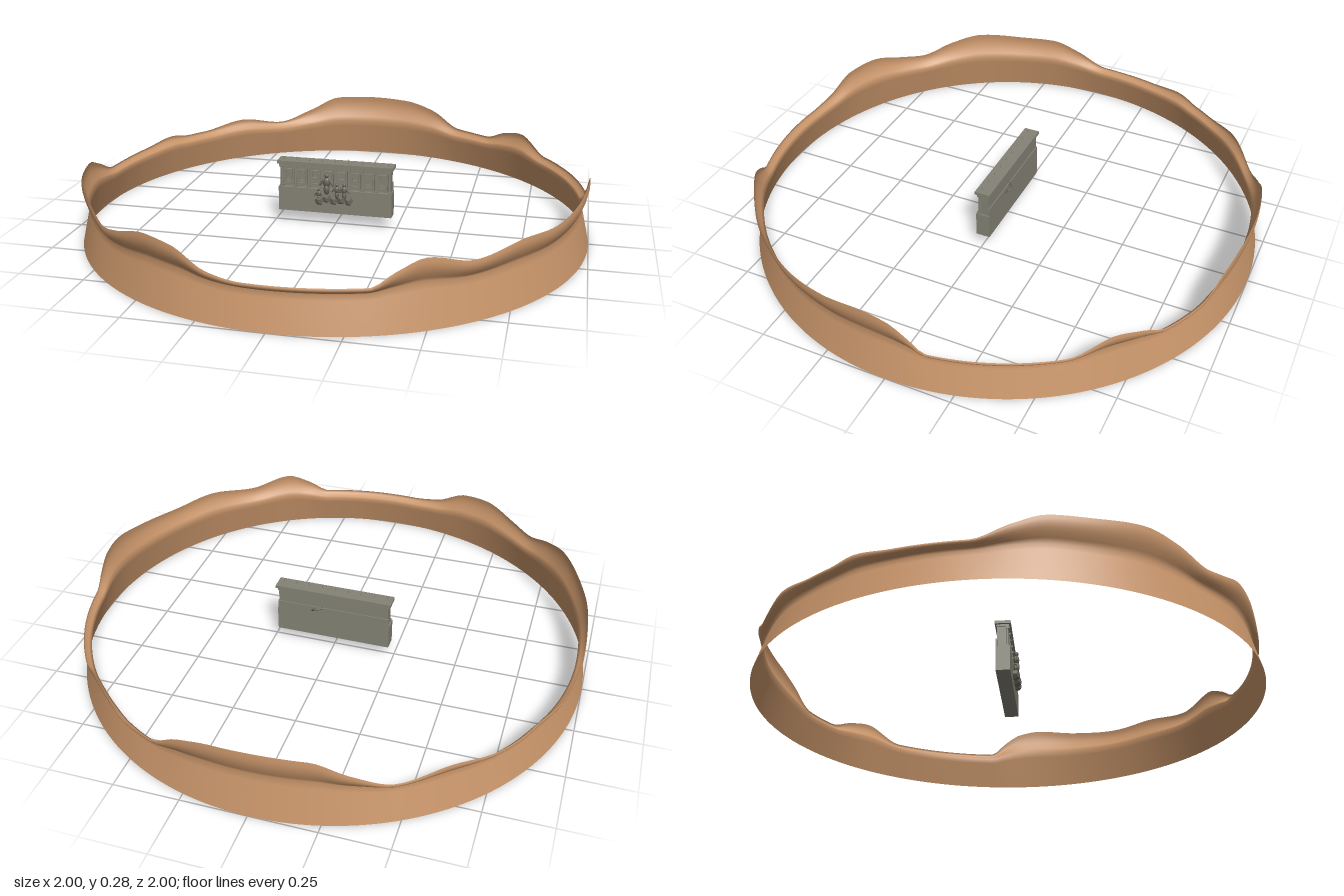
import * as THREE from 'three';
import { mergeVertices } from 'three/addons/utils/BufferGeometryUtils.js';

// Ridge height by bearing in degrees, from +z towards +x
const RIDGE = [
  [-78, .25], [-70, .255], [-58, .272], [-50, .245], [-42, .205], [-36, .222], [-27, .257], [-20, .245],
  [-12, .18], [-5, .162], [19, .162], [24, .21], [30, .25], [40, .215], [53, .243], [62, .235], [75, .255],
  [86, .28], [91, .265], [95, .22], [99, .163], [126, .16], [136, .22], [142, .2], [148, .162], [157, .168],
  [165, .238], [173, .272], [183, .28], [192, .275], [200, .215], [209, .162], [220, .192], [232, .165],
  [237, .165], [243, .18], [252, .162], [267, .155], [275, .21], [282, .25],
];

// Smooth interpolation that never overshoots the key heights
function ridgeHeight(deg) {
  const n = RIDGE.length - 1;
  const slope = (i) => {
    const k = (i + n) % n;
    return (RIDGE[k + 1][1] - RIDGE[k][1]) / (RIDGE[k + 1][0] - RIDGE[k][0]);
  };
  const tangent = (i) => {
    const a = slope(i - 1), b = slope(i);
    return a * b <= 0 ? 0 : (2 * a * b) / (a + b);
  };
  let i = 0;
  while (i < n - 1 && deg > RIDGE[i + 1][0]) i++;
  const w = RIDGE[i + 1][0] - RIDGE[i][0];
  const t = (deg - RIDGE[i][0]) / w, s = 1 - t;
  return s * s * (1 + 2 * t) * RIDGE[i][1] + t * t * (3 - 2 * t) * RIDGE[i + 1][1]
    + w * t * s * (s * tangent(i) - t * tangent(i + 1));
}

// Ring of hills: leans in to a waist, then flares out to the ridge
function hillGeometry() {
  const geo = new THREE.PlaneGeometry(1, 1, 240, 12);
  const pos = geo.attributes.position;
  for (let i = 0; i < pos.count; i++) {
    const u = pos.getX(i) + .5, v = pos.getY(i) + .5;
    const deg = -78 + 360 * u, a = THREE.MathUtils.degToRad(deg);
    const h = ridgeHeight(deg), waist = .085 + .29 * h;
    const f = Math.max(0, v * 2 - 1);
    const y = v < .5 ? waist * v * 2 : waist + (h - waist) * f;
    const r = v < .5 ? 1 - .038 * v * 2 : .962 + .028 * Math.sin(f * 2);
    pos.setXYZ(i, r * Math.sin(a), y, r * Math.cos(a));
  }
  geo.deleteAttribute('uv');
  geo.deleteAttribute('normal');
  const merged = mergeVertices(geo, 1e-5);
  merged.computeVertexNormals();
  return merged;
}

export function createModel() {
  const model = new THREE.Group();
  const mat = (name, color, side = THREE.FrontSide) => {
    const m = new THREE.MeshStandardMaterial({ color, side });
    m.name = name;
    return m;
  };
  const earth = mat('tan earth', 0xc8956a, THREE.DoubleSide);
  const stone = mat('grey stone', 0x858376);
  const statueStone = mat('dark statue stone', 0x68655a);

  const add = (parent, name, geo, material, x, y, z) => {
    const mesh = new THREE.Mesh(geo, material);
    mesh.name = name;
    mesh.position.set(x, y, z);
    parent.add(mesh);
    return mesh;
  };
  const box = (parent, name, w, h, d, x, y, z) =>
    add(parent, name, new THREE.BoxGeometry(w, h, d), stone, x, y, z);

  add(model, 'hillRing', hillGeometry(), earth, 0, 0, 0);

  // Monument wall: plinth, upper wall and cornice
  const wall = new THREE.Group();
  wall.name = 'monumentWall';
  model.add(wall);
  box(wall, 'plinth', .464, .1, .056, 0, .1, -.002);
  box(wall, 'upperWall', .452, .1, .036, 0, .198, -.008);
  box(wall, 'backBand', .458, .036, .008, 0, .168, -.026);
  box(wall, 'frieze', .46, .01, .05, 0, .241, -.003);
  box(wall, 'cornice', .474, .012, .062, 0, .253, -.003);

  // Pilasters with base and capital, and finials above them
  const bays = 8, pitch = .44 / bays;
  for (let i = 0; i <= bays; i++) {
    const x = -.22 + i * pitch;
    add(wall, 'pilaster', new THREE.CylinderGeometry(.0055, .0065, .08, 12), stone, x, .196, .014);
    box(wall, 'pilasterBase', .016, .008, .014, x, .154, .016);
    box(wall, 'pilasterCapital', .016, .008, .014, x, .234, .016);
    add(wall, 'finial', new THREE.ConeGeometry(.0025, .018, 6), stone, x * .97, .267, .005);
  }

  // Framed windows in each bay, taller ones near the ends
  for (let i = 0; i < bays; i++) {
    const x = -.22 + (i + .5) * pitch;
    const h = i < 2 || i > 5 ? .045 : .03, y = .222 - h / 2;
    for (const s of [-1, 1]) {
      box(wall, 'windowJamb', .004, h, .008, x + s * .012, y, .013);
      box(wall, 'windowRail', .032, .004, .01, x, y + s * h / 2, .014);
    }
    box(wall, 'windowSill', .026, .006, .008, x, .165, .013);
  }

  // Statue group on rocks before the centre of the wall
  const statues = new THREE.Group();
  statues.name = 'statueGroup';
  model.add(statues);
  const blob = (name, r, x, y, z, sx, sy, sz) =>
    add(statues, name, new THREE.SphereGeometry(r, 12, 8), statueStone, x, y, z).scale.set(sx, sy, sz);
  for (const [x, y, r] of [[-.06, .105, .02], [-.03, .115, .018], [0, .11, .02], [.03, .115, .02], [.06, .11, .018]]) {
    add(statues, 'rock', new THREE.DodecahedronGeometry(r), statueStone, x, y, .033);
  }
  for (const [x, y, k] of [[-.03, .17, 1.25], [.012, .145, .9], [.042, .145, .95], [-.062, .125, .8]]) {
    blob('statueLegs', .012 * k, x, y - .012 * k, .036, .8, 1.5, .9);
    blob('statueTorso', .012 * k, x, y + .012 * k, .036, 1, 1.4, .8);
    blob('statueHead', .007 * k, x, y + .034 * k, .036, 1, 1.1, 1);
    for (const s of [-1, 1]) {
      const arm = add(statues, 'statueArm', new THREE.CapsuleGeometry(.0035 * k, .018 * k, 3, 8), statueStone,
        x + s * .015 * k, y + .012 * k, .04);
      arm.rotation.z = s * .6;
    }
  }

  // Bent branch standing out from the back of the wall
  const branch = new THREE.CatmullRomCurve3([
    new THREE.Vector3(.085, .165, -.028), new THREE.Vector3(.078, .18, -.042),
    new THREE.Vector3(.062, .185, -.044), new THREE.Vector3(.04, .185, -.03),
  ]);
  add(model, 'backBranch', new THREE.TubeGeometry(branch, 16, .004, 8), statueStone, 0, 0, 0);
  return model;
}
